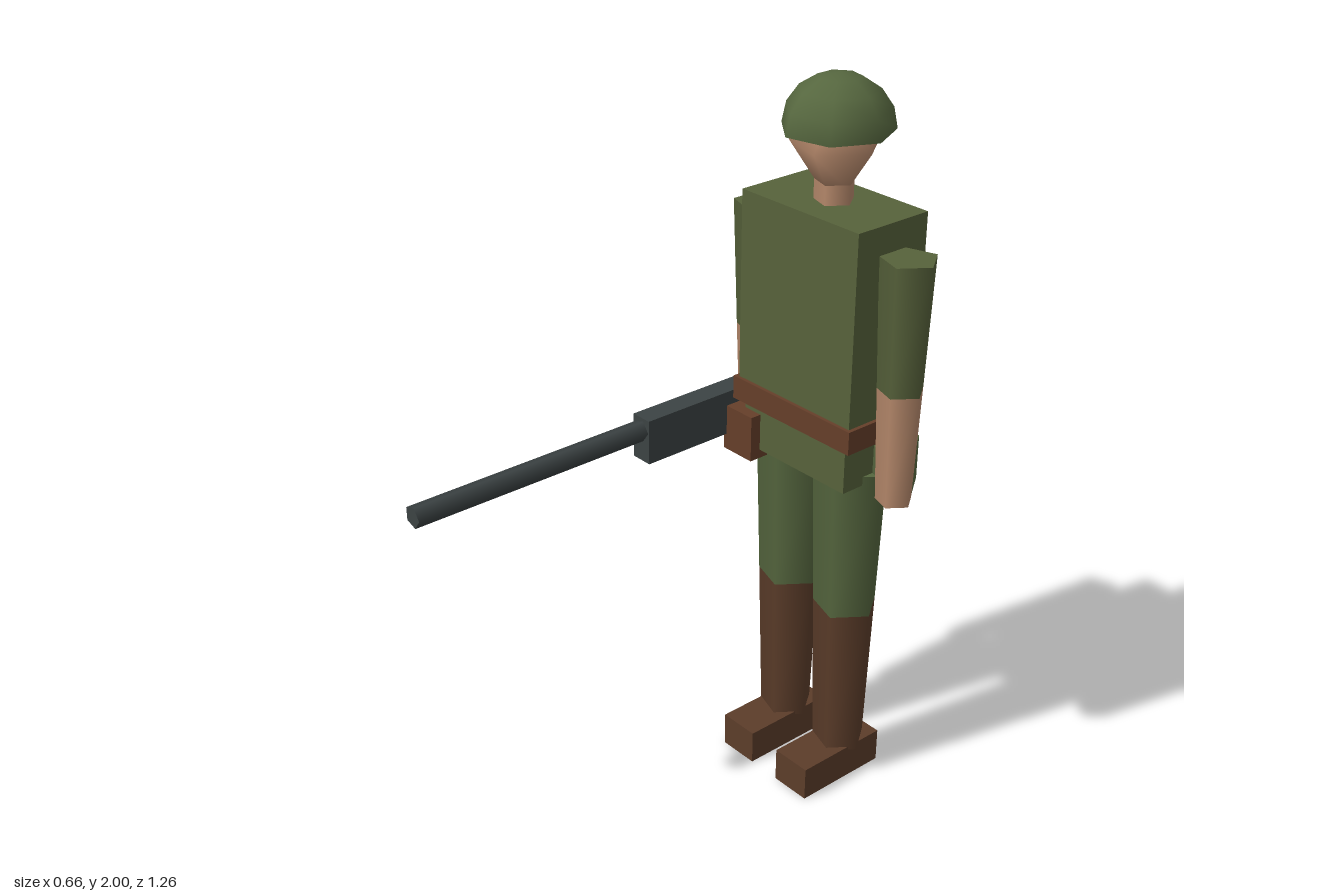
import * as THREE from 'three';

const mat = (name, color) => Object.assign(new THREE.MeshStandardMaterial({ color }), { name });

export function createModel() {
  const tunic = mat('tunic olive', 0x57623b);
  const cloth = mat('cloth green', 0x56673f);
  const skin = mat('skin', 0xb98b6d);
  const boot = mat('boot brown', 0x5c3d2a);
  const leather = mat('belt brown', 0x663f2a);
  const metal = mat('gun metal', 0x3c4344);

  const CX = -0.008, CZ = -0.485; // body axis
  const model = new THREE.Group();
  model.name = 'soldier';

  const add = (name, geometry, material) => {
    const mesh = new THREE.Mesh(geometry, material);
    mesh.name = name;
    model.add(mesh);
    return mesh;
  };
  // Box given by its extents on each axis
  const box = (name, material, [x0, x1], [y0, y1], [z0, z1]) =>
    add(name, new THREE.BoxGeometry(x1 - x0, y1 - y0, z1 - z0), material)
      .position.set((x0 + x1) / 2, (y0 + y1) / 2, (z0 + z1) / 2);
  // Five-sided upright limb with one corner pointing to +x
  const limb = (name, material, x, z, [y0, y1], [r0, r1]) =>
    add(name, new THREE.CylinderGeometry(r1, r0, y1 - y0, 5, 1, false, Math.PI / 2), material)
      .position.set(x, (y0 + y1) / 2, z);

  // Torso
  box('torso', tunic, [-0.215, 0.197], [1.1, 1.68], [-0.602, -0.365]);
  box('tunicSkirt', tunic, [-0.2, 0.178], [0.965, 1.12], [-0.592, -0.375]);
  box('belt', leather, [-0.227, 0.208], [1.095, 1.16], [-0.613, -0.355]);
  box('beltPouch', leather, [-0.248, -0.14], [0.94, 1.07], [-0.41, -0.343]);
  limb('canteen', cloth, 0.19, -0.54, [0.945, 1.07], [0.075, 0.075]);

  // Head, neck and helmet
  limb('neck', skin, CX, CZ, [1.66, 1.74], [0.053, 0.053]);
  const profile = [[0, 1.71], [0.045, 1.72], [0.119, 1.825], [0.065, 1.9], [0, 1.93]]
    .map(([x, y]) => new THREE.Vector2(x, y));
  add('head', new THREE.LatheGeometry(profile, 5, Math.PI / 2), skin).position.set(CX, 0, CZ);
  const dome = new THREE.SphereGeometry(0.146, 7, 4, Math.PI, Math.PI * 2, 0, Math.PI / 2);
  dome.scale(1, 0.96, 1);
  add('helmet', dome, cloth).position.set(CX, 1.86, CZ);
  const lining = new THREE.CircleGeometry(0.146, 7);
  lining.rotateX(Math.PI / 2);
  add('helmetUnderside', lining, cloth).position.set(CX, 1.86, CZ);

  // Arms and legs
  for (const [side, s] of [['left', 1], ['right', -1]]) {
    const armX = CX + s * 0.263, legX = CX + s * 0.11;
    limb(side + 'Sleeve', tunic, armX, CZ, [1.255, 1.605], [0.062, 0.075]);
    limb(side + 'Forearm', skin, armX, CZ, [0.94, 1.255], [0.05, 0.062]);
    limb(side + 'Trouser', cloth, legX, CZ, [0.55, 0.99], [0.0905, 0.106]);
    limb(side + 'BootShaft', boot, legX, CZ, [0.09, 0.55], [0.075, 0.0905]);
    const footX = CX + s * 0.11;
    box(side + 'Foot', boot, [footX - 0.06, footX + 0.06], [0, 0.1], [-0.583, -0.298]);
  }

  // Rifle held in the right hand
  box('rifleBody', metal, [-0.301, -0.238], [0.985, 1.11], [-0.525, -0.073]);
  const barrel = new THREE.CylinderGeometry(0.03, 0.03, 0.72, 5, 1, false, Math.PI / 2);
  barrel.rotateX(Math.PI / 2);
  add('rifleBarrel', barrel, metal).position.set(-0.271, 1.073, 0.268);

  return model;
}
